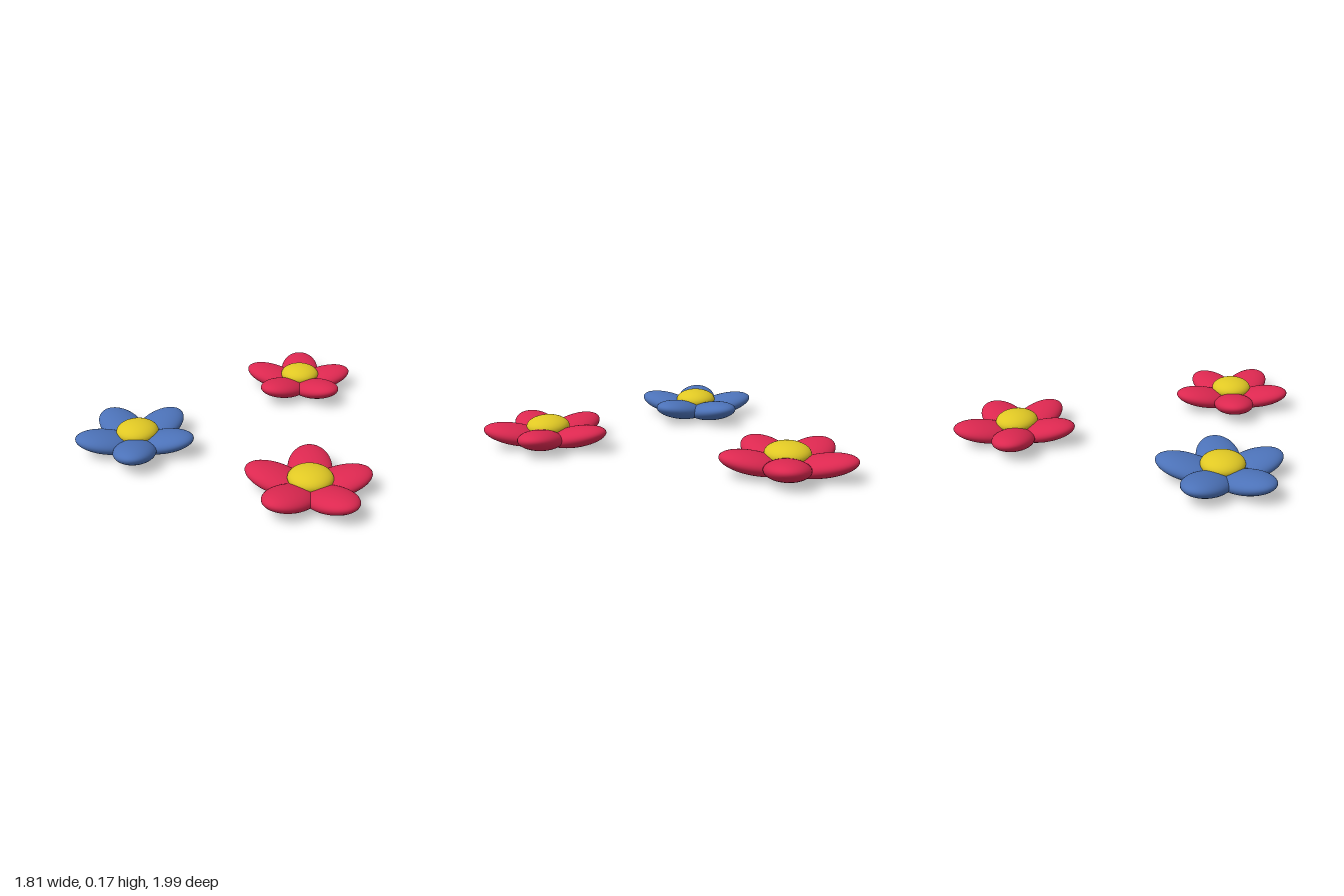
import * as THREE from 'three';

// Petal shape: half length, half thickness, half width, upward tilt
const LENGTH = 0.179, THICK = 0.057, WIDTH = 0.118, TILT = 0.215;
// Distance of each petal's middle from the flower's axis (the first is set closer in)
const REACH = [0.155, 0.181, 0.176, 0.173, 0.173];

const petalGeometry = new THREE.SphereGeometry(1, 40, 28).scale(LENGTH, THICK, WIDTH);
const centreGeometry = new THREE.SphereGeometry(0.118, 40, 28).scale(1, 0.51, 1);

function createFlower(name, petalMaterial, centreMaterial) {
  const flower = new THREE.Group();
  flower.name = name;

  // Five overlapping petals around the axis
  REACH.forEach((reach, i) => {
    const arm = new THREE.Group();
    arm.name = `petalArm${i + 1}`;
    arm.rotation.y = (i * Math.PI * 2) / REACH.length;
    const petal = new THREE.Mesh(petalGeometry, petalMaterial);
    petal.name = `petal${i + 1}`;
    petal.position.set(reach, 0.068, 0);
    petal.rotation.z = TILT;
    arm.add(petal);
    flower.add(arm);
  });

  // Flattened round centre
  const centre = new THREE.Mesh(centreGeometry, centreMaterial);
  centre.name = 'flowerCentre';
  centre.position.y = 0.108;
  flower.add(centre);
  return flower;
}

export function createModel() {
  const red = new THREE.MeshStandardMaterial({ color: 0xdc2850 });
  const blue = new THREE.MeshStandardMaterial({ color: 0x4c72b8 });
  const yellow = new THREE.MeshStandardMaterial({ color: 0xe0c824 });

  const model = new THREE.Group();
  model.name = 'flowers';
  // name, petal colour, x, z, turn in degrees
  const layout = [
    ['backRedFlower', red, 0.575, -0.655, 0],
    ['frontRedFlower', red, 0.21, 0.655, 0],
    ['blueFlower', blue, -0.56, -0.085, -32],
  ];
  for (const [name, material, x, z, turn] of layout) {
    const flower = createFlower(name, material, yellow);
    flower.position.set(x, 0, z);
    flower.rotation.y = THREE.MathUtils.degToRad(turn);
    model.add(flower);
  }
  return model;
}
